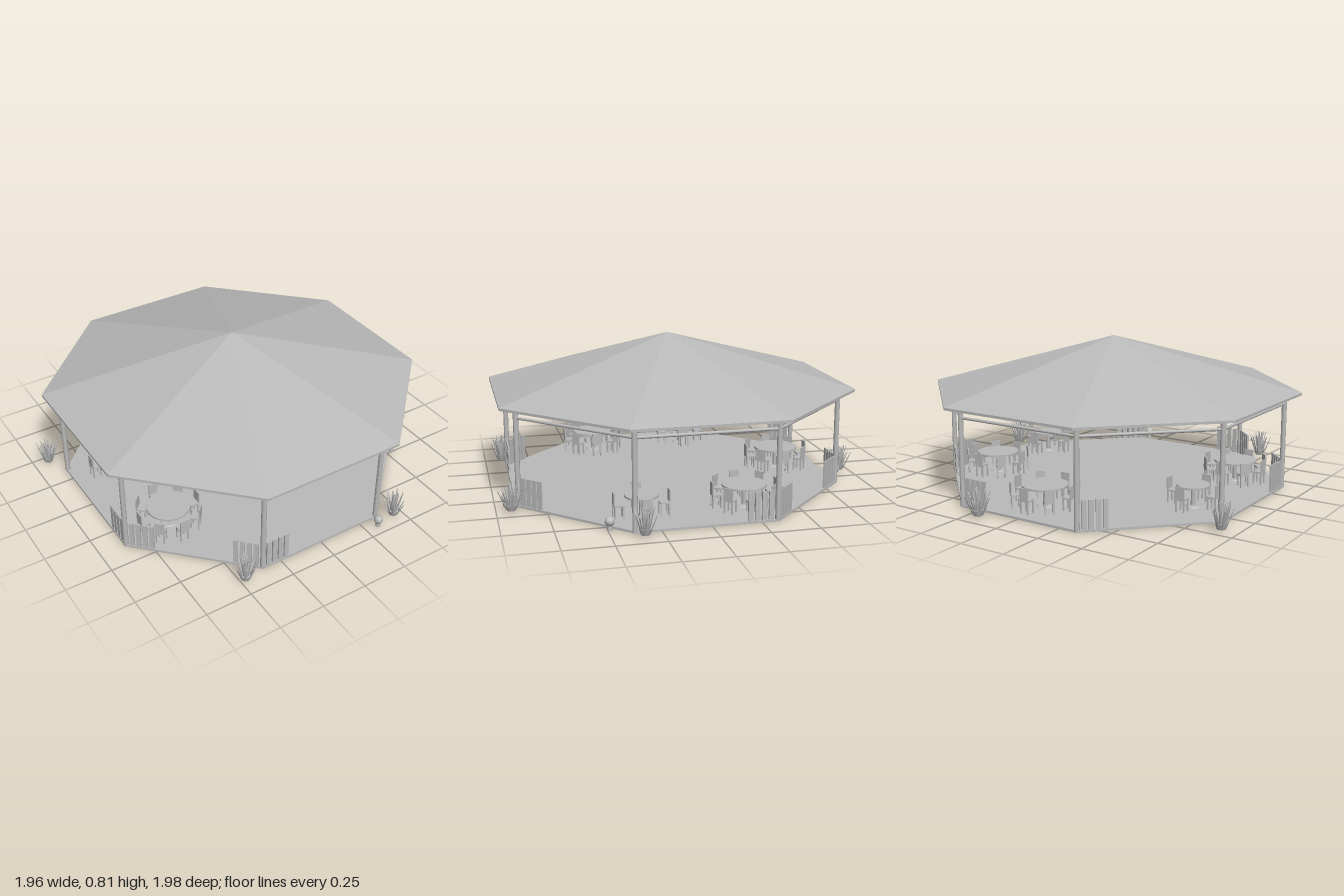
import * as THREE from 'three';

const grey = new THREE.MeshStandardMaterial({ color: 0xbababa });
grey.name = 'plain grey';

const CZ = 0.025;                      // centre of the pavilion along z
const C8 = Math.cos(Math.PI / 8);
const FLOOR_Y = 0.012;

// Octagon corner i, counted from the front right one round through +x
function corner(i, apothem) {
  const a = Math.PI / 8 + i * Math.PI / 4, r = apothem / C8;
  return new THREE.Vector3(Math.sin(a) * r, 0, Math.cos(a) * r + CZ);
}

function add(parent, name, geometry, x = 0, y = 0, z = 0) {
  const mesh = new THREE.Mesh(geometry, grey);
  mesh.name = name;
  mesh.position.set(x, y, z);
  parent.add(mesh);
  return mesh;
}

// Flat-shaded octagonal prism or pyramid with a side facing front
function octagon(topApothem, bottomApothem, height) {
  const g = new THREE.CylinderGeometry(topApothem / C8, bottomApothem / C8, height, 8);
  g.rotateY(Math.PI / 8);
  const flat = g.toNonIndexed();
  flat.computeVertexNormals();
  return flat;
}

// Horizontal bar along one side of the octagon
function sideBar(parent, name, i, apothem, y, geometry) {
  const mid = corner(i, apothem).add(corner(i + 1, apothem)).multiplyScalar(0.5);
  const bar = add(parent, name, geometry, mid.x, y, mid.z);
  bar.rotation.y = (i + 1) * Math.PI / 4;
}

function makeChair() {
  const chair = new THREE.Group();
  chair.name = 'chair';
  add(chair, 'seat', new THREE.BoxGeometry(0.05, 0.008, 0.05), 0, 0.066, 0);
  add(chair, 'backrest', new THREE.BoxGeometry(0.05, 0.062, 0.007), 0, 0.102, 0.024);
  for (const x of [-0.021, 0.021])
    for (const z of [-0.021, 0.021])
      add(chair, 'chairLeg', new THREE.BoxGeometry(0.007, 0.062, 0.007), x, 0.031, z);
  return chair;
}

// Round table ringed by chairs whose backs face outward
function makeDining(x, z, radius, chairs) {
  const set = new THREE.Group();
  set.name = 'diningSet';
  set.position.set(x, FLOOR_Y, z);
  add(set, 'tableTop', new THREE.CylinderGeometry(radius, radius, 0.01, 24), 0, 0.11, 0);
  add(set, 'tablePedestal', new THREE.CylinderGeometry(0.012, 0.012, 0.105, 10), 0, 0.0525, 0);
  add(set, 'tableFoot', new THREE.CylinderGeometry(0.04, 0.045, 0.006, 16), 0, 0.003, 0);
  for (let i = 0; i < chairs; i++) {
    const a = i * Math.PI * 2 / chairs, chair = makeChair();
    chair.position.set(Math.sin(a) * (radius + 0.03), 0, Math.cos(a) * (radius + 0.03));
    chair.rotation.y = a;
    set.add(chair);
  }
  return set;
}

// Spiky plant: thin blades fanning out from a small crown
function makePlant(x, z, turn) {
  const plant = new THREE.Group();
  plant.name = 'spikyPlant';
  plant.position.set(x, 0.015, z);
  plant.rotation.y = turn;
  add(plant, 'crown', new THREE.CylinderGeometry(0.032, 0.022, 0.03, 8), 0, 0.015, 0);
  const blade = new THREE.CylinderGeometry(0.003, 0.009, 1, 4).toNonIndexed();
  blade.computeVertexNormals();
  blade.scale(1, 1, 0.4);
  blade.translate(0, 0.5, 0);
  for (let i = 0; i < 24; i++) {
    const a = i * 2.4, t = i / 23;
    const leaf = add(plant, 'leaf', blade, Math.sin(a) * 0.026 * t, 0.008, Math.cos(a) * 0.026 * t);
    leaf.rotation.set(0.06 + 0.36 * t, a, 0, 'YXZ');
    leaf.scale.y = 0.138 - 0.02 * t - 0.012 * (i % 3);
  }
  return plant;
}

export function createModel() {
  const model = new THREE.Group();
  model.name = 'pavilion';

  // Floor and roof
  add(model, 'floor', octagon(0.865, 0.865, FLOOR_Y), 0, FLOOR_Y / 2, CZ);
  add(model, 'roof', octagon(0, 0.94, 0.282), 0, 0.669, CZ);
  add(model, 'roofEdge', octagon(0.94, 0.94, 0.013), 0, 0.5215, CZ);

  // Posts, top beams and rails
  const post = new THREE.CylinderGeometry(0.0135, 0.0135, 0.505, 12);
  const length = 2 * 0.857 * Math.tan(Math.PI / 8);
  const beam = new THREE.BoxGeometry(length, 0.016, 0.022);
  const rail = new THREE.CylinderGeometry(0.008, 0.008, length, 8);
  rail.rotateZ(Math.PI / 2);
  for (let i = 0; i < 8; i++) {
    const p = corner(i, 0.857);
    add(model, 'post', post, p.x, 0.2585, p.z);
    sideBar(model, 'topBeam', i, 0.857, 0.507, beam);
    sideBar(model, 'rail', i, 0.857, 0.467, rail);
  }

  // Picket panels: [corner they start at, corner they run towards]
  const picket = new THREE.BoxGeometry(0.025, 0.145, 0.01);
  const panels = [[0, 1], [2, 1], [2, 3], [3, 2], [3, 4]];
  for (const half of [0, 4]) {
    for (const [from, to] of panels) {
      const a = corner(from + half, 0.857), b = corner(to + half, 0.857);
      const dir = b.clone().sub(a).normalize();
      const panel = new THREE.Group();
      panel.name = 'picketPanel';
      for (let k = 0; k < 4; k++) {
        const p = a.clone().addScaledVector(dir, 0.034 + k * 0.035);
        add(panel, 'picket', picket, p.x, FLOOR_Y + 0.0725, p.z)
          .rotation.y = Math.atan2(-dir.z, dir.x);
      }
      model.add(panel);
    }
  }

  // Tables with chairs
  const tables = [
    [0.62, -0.23, 0.115, 8], [-0.59, 0.35, 0.115, 8], [0, -0.61, 0.12, 8],
    [0.67, 0.31, 0.085, 4], [-0.63, -0.2, 0.085, 4],
  ];
  for (const t of tables) model.add(makeDining(...t));

  // Plants and garden globes outside
  const plants = [[0.17, -0.93], [-0.92, -0.45], [-0.475, 0.91], [0.44, 0.925], [0.925, 0.345]];
  plants.forEach(([x, z], i) => model.add(makePlant(x, z, i * 1.3)));
  for (const [x, z] of [[0.325, 0.945], [0.79, 0.49], [0.24, -0.88]]) {
    add(model, 'globe', new THREE.SphereGeometry(0.024, 16, 12), x, 0.044, z);
    add(model, 'globeBase', new THREE.CylinderGeometry(0.012, 0.014, 0.022, 10), x, 0.011, z);
  }
  return model;
}
